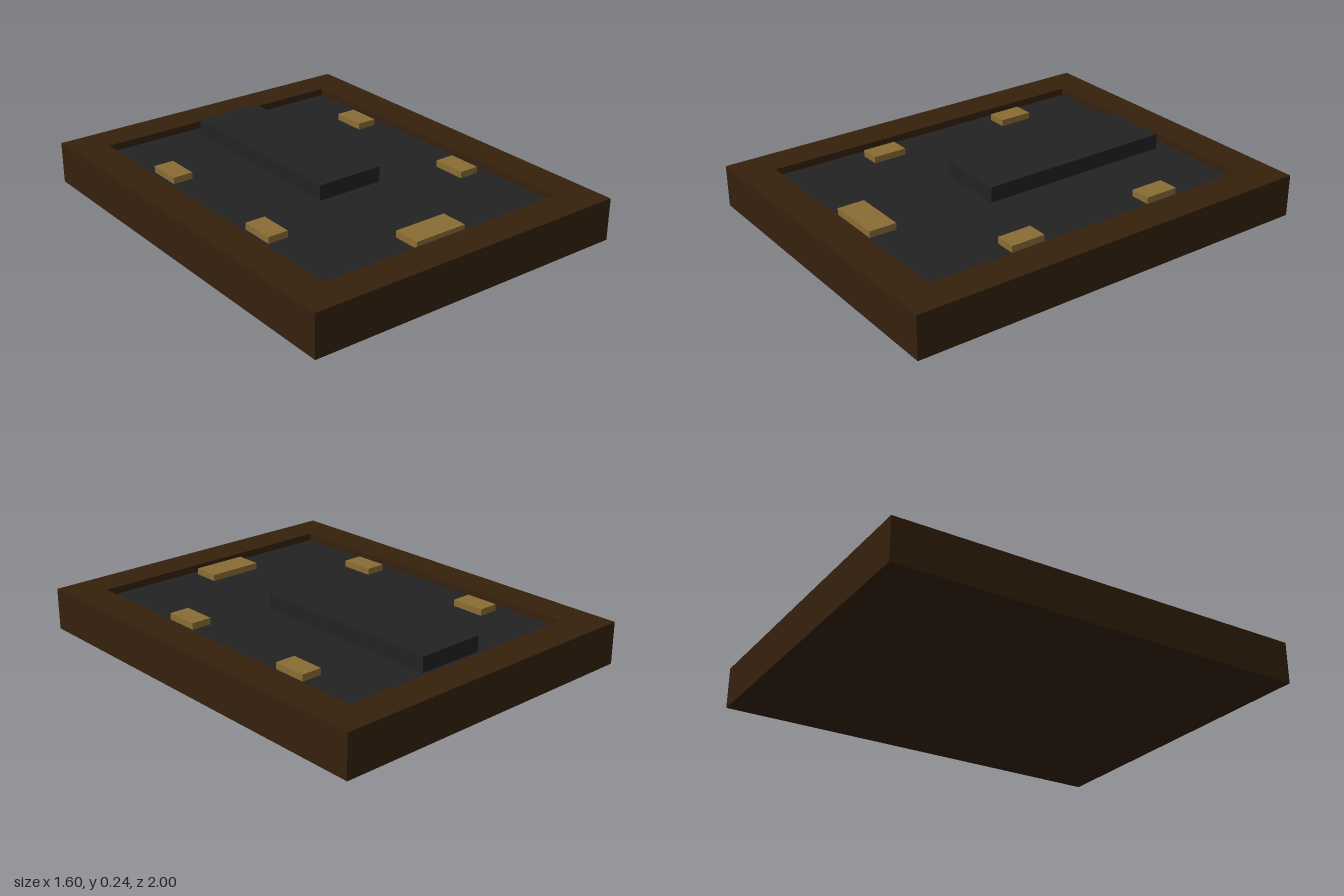
import * as THREE from 'three';

export function createModel() {
  const model = new THREE.Group();
  model.name = 'framedPanel';

  const material = (name, color) => {
    const m = new THREE.MeshStandardMaterial({ color });
    m.name = name;
    return m;
  };
  const wood = material('darkWood', 0x35210d);
  const black = material('charcoal', 0x222222);
  const brass = material('brass', 0x8b6d35);

  const FLOOR = 0.166; // height of the recessed panel

  const add = (name, geometry, mat) => {
    const mesh = new THREE.Mesh(geometry, mat);
    mesh.name = name;
    model.add(mesh);
    return mesh;
  };

  // Box given by its lower and upper limits on each axis
  const box = (name, mat, [x0, x1], [y0, y1], [z0, z1]) =>
    add(name, new THREE.BoxGeometry(x1 - x0, y1 - y0, z1 - z0), mat)
      .position.set((x0 + x1) / 2, (y0 + y1) / 2, (z0 + z1) / 2);

  const rectangle = (Type, x, z) => new Type([
    new THREE.Vector2(-x, -z), new THREE.Vector2(x, -z),
    new THREE.Vector2(x, z), new THREE.Vector2(-x, z),
  ]);

  // Wooden frame around the opening
  const outline = rectangle(THREE.Shape, 0.8, 1);
  outline.holes.push(rectangle(THREE.Path, 0.633, 0.833));
  const frame = new THREE.ExtrudeGeometry(outline, { depth: 0.2, bevelEnabled: false });
  frame.rotateX(-Math.PI / 2);
  add('frame', frame, wood);

  // Wooden underside and the dark panel set into the frame
  box('baseBoard', wood, [-0.633, 0.633], [0, 0.08], [-0.833, 0.833]);
  box('recessedPanel', black, [-0.633, 0.633], [0.08, FLOOR], [-0.833, 0.833]);

  // Long raised block
  box('centerBlock', black, [-0.167, 0.167], [FLOOR, 0.24], [-0.767, 0.2]);

  // Brass plates along both sides and at the front
  for (const side of [-1, 1]) {
    for (const z of [-0.42, 0.315]) {
      const x = side * 0.533;
      box('sidePlate', brass, [x - 0.049, x + 0.049], [FLOOR, 0.197], [z - 0.083, z + 0.083]);
    }
  }
  box('frontPlate', brass, [-0.132, 0.132], [FLOOR, 0.197], [0.667, 0.797]);

  return model;
}
